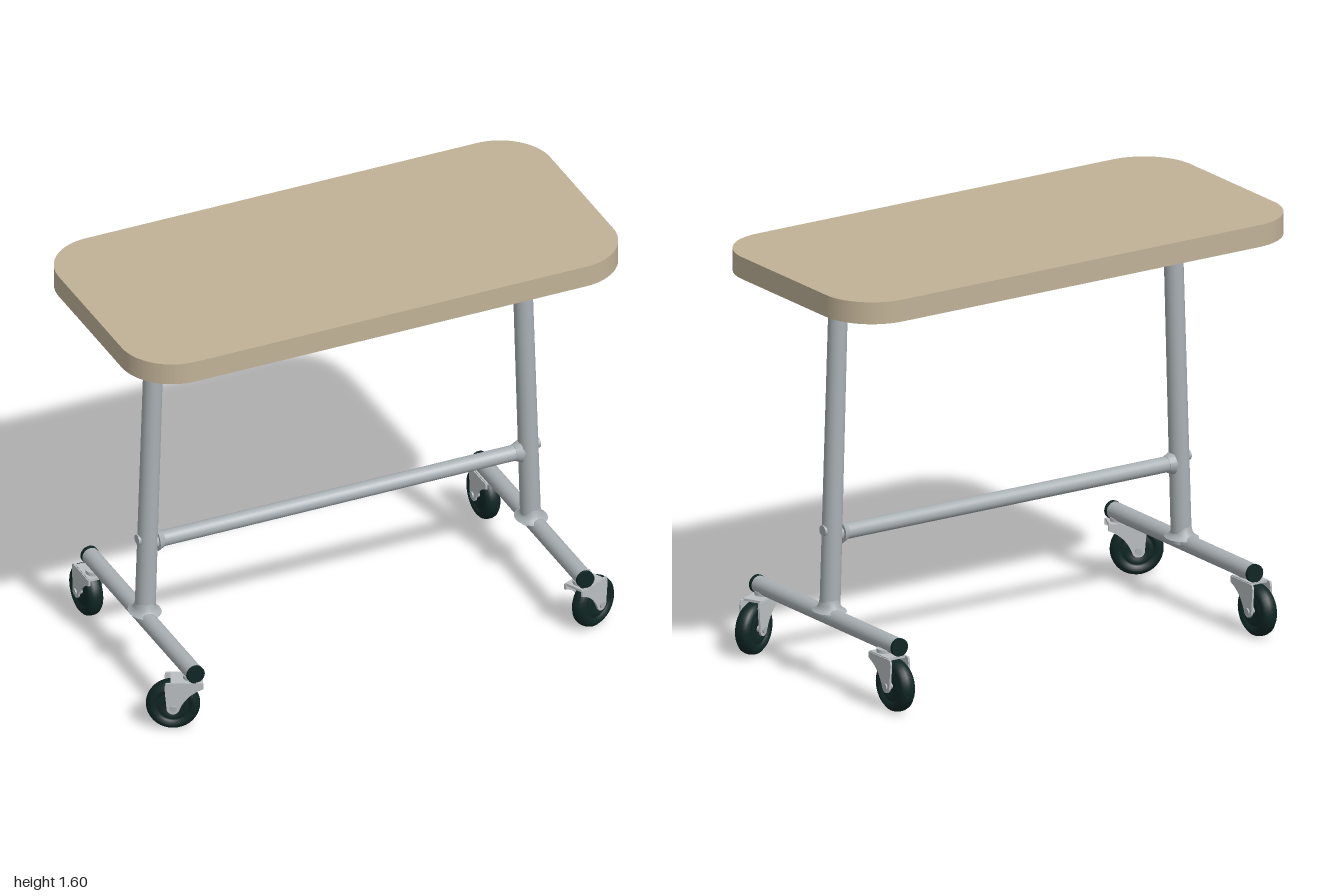
import * as THREE from 'three';

const material = (name, color, side = THREE.FrontSide) => {
  const m = new THREE.MeshStandardMaterial({ color, side });
  m.name = name;
  return m;
};

export function createModel() {
  const wood = material('beige top', 0xc1b297);
  const steel = material('grey steel', 0xa9b0b4);
  const bracket = material('light bracket', 0xbcc0c2);
  const rubber = material('dark rubber', 0x0f2624);

  const add = (parent, name, geometry, mat) => {
    const mesh = new THREE.Mesh(geometry, mat);
    mesh.name = name;
    parent.add(mesh);
    return mesh;
  };
  // round bar between two points
  const bar = (parent, name, from, to, radius, mat, endRadius = radius) => {
    const a = new THREE.Vector3(...from), b = new THREE.Vector3(...to);
    const mesh = add(parent, name, new THREE.CylinderGeometry(endRadius, radius, a.distanceTo(b), 24), mat);
    mesh.position.copy(a).add(b).multiplyScalar(0.5);
    mesh.quaternion.setFromUnitVectors(new THREE.Vector3(0, 1, 0), b.sub(a).normalize());
    return mesh;
  };

  const table = new THREE.Group();
  table.name = 'rollingTable';

  // Table top: rounded rectangle, laid flat
  const w = 1, d = 0.48, r = 0.205;
  const outline = new THREE.Shape();
  outline.moveTo(w - r, -d);
  outline.absarc(w - r, -d + r, r, -Math.PI / 2, 0);
  outline.absarc(w - r, d - r, r, 0, Math.PI / 2);
  outline.absarc(-w + r, d - r, r, Math.PI / 2, Math.PI);
  outline.absarc(-w + r, -d + r, r, Math.PI, Math.PI * 1.5);
  outline.closePath();
  const topGeometry = new THREE.ExtrudeGeometry(outline, { depth: 0.085, bevelEnabled: false, curveSegments: 16 });
  topGeometry.rotateX(-Math.PI / 2);
  add(table, 'tableTop', topGeometry, wood).position.set(0, 1.515, 0.024);

  // Caster parts: the wheel trails the stem along local +x
  const trail = 0.068, axleY = 0.1;
  const tyreProfile = [
    [0, -0.02], [0.03, -0.02], [0.034, -0.027], [0.052, -0.027], [0.056, -0.022], [0.064, -0.022],
    [0.07, -0.032], [0.085, -0.03], [0.096, -0.02], [0.1, -0.007],
    [0.1, 0.007], [0.096, 0.02], [0.085, 0.03], [0.07, 0.032],
    [0.064, 0.022], [0.056, 0.022], [0.052, 0.027], [0.034, 0.027], [0.03, 0.02], [0, 0.02],
  ].map(([x, y]) => new THREE.Vector2(x, y));
  const wheelGeometry = new THREE.LatheGeometry(tyreProfile, 36).rotateX(Math.PI / 2);

  const cheek = new THREE.Shape();
  cheek.moveTo(-0.045, 0.208);
  cheek.lineTo(-0.045, 0.185);
  cheek.quadraticCurveTo(0.02, 0.16, trail - 0.024, axleY - 0.004);
  cheek.absarc(trail, axleY, 0.024, Math.PI, Math.PI * 2);
  cheek.lineTo(0.1, 0.19);
  cheek.lineTo(0.095, 0.208);
  cheek.closePath();
  const cheekGeometry = new THREE.ExtrudeGeometry(cheek, { depth: 0.008, bevelEnabled: false });

  const caster = (x, z, angle) => {
    const group = new THREE.Group();
    group.name = 'caster';
    group.position.set(x, 0, z);
    group.rotation.y = angle;
    add(group, 'wheel', wheelGeometry, rubber).position.set(trail, axleY, 0);
    for (const side of [-1, 1]) {
      add(group, 'forkCheek', cheekGeometry, bracket).position.z = side * 0.04 - 0.004;
    }
    add(group, 'forkCrown', new THREE.BoxGeometry(0.12, 0.01, 0.08), bracket).position.set(0.018, 0.206, 0);
    bar(group, 'swivelStem', [0, 0.198, 0], [0, 0.225, 0], 0.032, bracket);
    bar(group, 'axleBolt', [trail, axleY, -0.05], [trail, axleY, 0.05], 0.013, steel);
    table.add(group);
  };

  // Flared weld collar where a leg meets its foot
  const collarGeometry = new THREE.LatheGeometry(
    [[0.072, 0], [0.056, 0.008], [0.046, 0.022], [0.04, 0.045]].map(([x, y]) => new THREE.Vector2(x, y)), 24);
  collarGeometry.scale(0.85, 1, 1);
  const collarSteel = material('grey steel', 0xa9b0b4, THREE.DoubleSide);

  const legZ = 0.04, footY = 0.243;
  for (const s of [-1, 1]) {
    const frame = new THREE.Group();
    frame.name = s > 0 ? 'leftFrame' : 'rightFrame';
    table.add(frame);
    const footX = s * 0.793;
    bar(frame, 'leg', [s * 0.785, footY, legZ], [s * 0.745, 1.518, legZ], 0.039, steel, 0.036);
    bar(frame, 'foot', [footX, footY, -0.42], [footX, footY, 0.495], 0.033, steel);
    bar(frame, 'backEndCap', [footX, footY, -0.435], [footX, footY, -0.42], 0.0345, rubber);
    bar(frame, 'frontEndCap', [footX, footY, 0.493], [footX, footY, 0.508], 0.0345, rubber);
    add(frame, 'legCollar', collarGeometry, collarSteel).position.set(s * 0.786, 0.262, legZ);
    bar(frame, 'railCollar', [s * 0.715, 0.555, legZ], [s * 0.74, 0.555, legZ], 0.031, steel, 0.042);
    bar(frame, 'railBolt', [s * 0.77, 0.575, legZ], [s * 0.818, 0.575, legZ], 0.02, steel);

    // Front wheels splay outwards, back wheels point straight back
    const splay = THREE.MathUtils.degToRad(25);
    caster(s * 0.793, 0.465, s > 0 ? splay : Math.PI - splay);
    caster(s * 0.808, -0.357, Math.PI / 2);
  }

  // Cross rail between the legs
  bar(table, 'crossRail', [-0.76, 0.555, legZ], [0.76, 0.555, legZ], 0.03, steel);

  return table;
}
